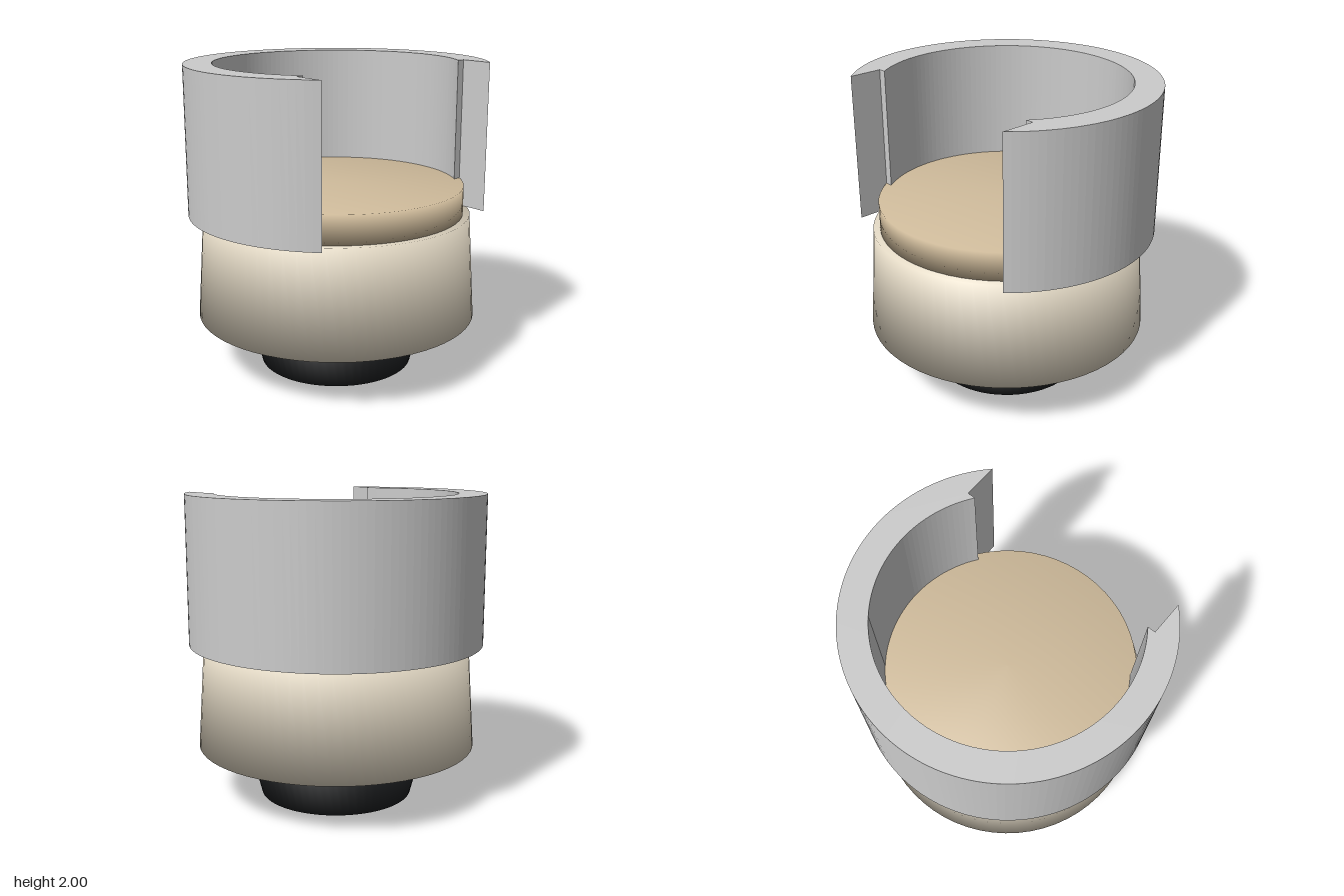
import * as THREE from 'three';

const CENTER_Z = 0.025;

// Closed, softly shaded drum with differing lower and upper radii
function drum(name, color, y0, y1, r0, r1) {
  const profile = [[0, y0], [r0, y0], [r1, y1], [0, y1]].map(([x, y]) => new THREE.Vector2(x, y));
  const mesh = new THREE.Mesh(
    new THREE.LatheGeometry(profile, 64),
    new THREE.MeshStandardMaterial({ color })
  );
  mesh.name = name;
  return mesh;
}

// Curved backrest: a ring with a rectangular opening cut from its front
function backrest() {
  const outer = 0.965, inner = 0.785, halfGap = 0.69, cut = 0.455;
  const a = Math.acos(halfGap / outer);
  const b = Math.asin(cut / inner);
  const shape = new THREE.Shape();
  shape.absarc(0, 0, outer, -a, Math.PI + a, false);
  shape.lineTo(-halfGap, -cut);
  shape.absarc(0, 0, inner, Math.PI + b, -b, true);
  shape.lineTo(halfGap, -cut);
  shape.closePath();
  const geometry = new THREE.ExtrudeGeometry(shape, { depth: 0.965, bevelEnabled: false, curveSegments: 48 });
  geometry.rotateX(-Math.PI / 2);
  const mesh = new THREE.Mesh(geometry, new THREE.MeshStandardMaterial({ color: 0xcccccc }));
  mesh.name = 'backrest';
  mesh.position.y = 1.035;
  return mesh;
}

export function createModel() {
  const chair = new THREE.Group();
  chair.name = 'barrelChair';
  chair.add(
    drum('foot', 0x1c1e20, 0, 0.35, 0.505, 0.597),
    drum('base', 0xe0d6c2, 0.35, 1.035, 0.918, 0.872),
    drum('seatCushion', 0xd0bc9c, 1.035, 1.22, 0.828, 0.828),
    backrest()
  );
  for (const part of chair.children) part.position.z = CENTER_Z;
  return chair;
}
